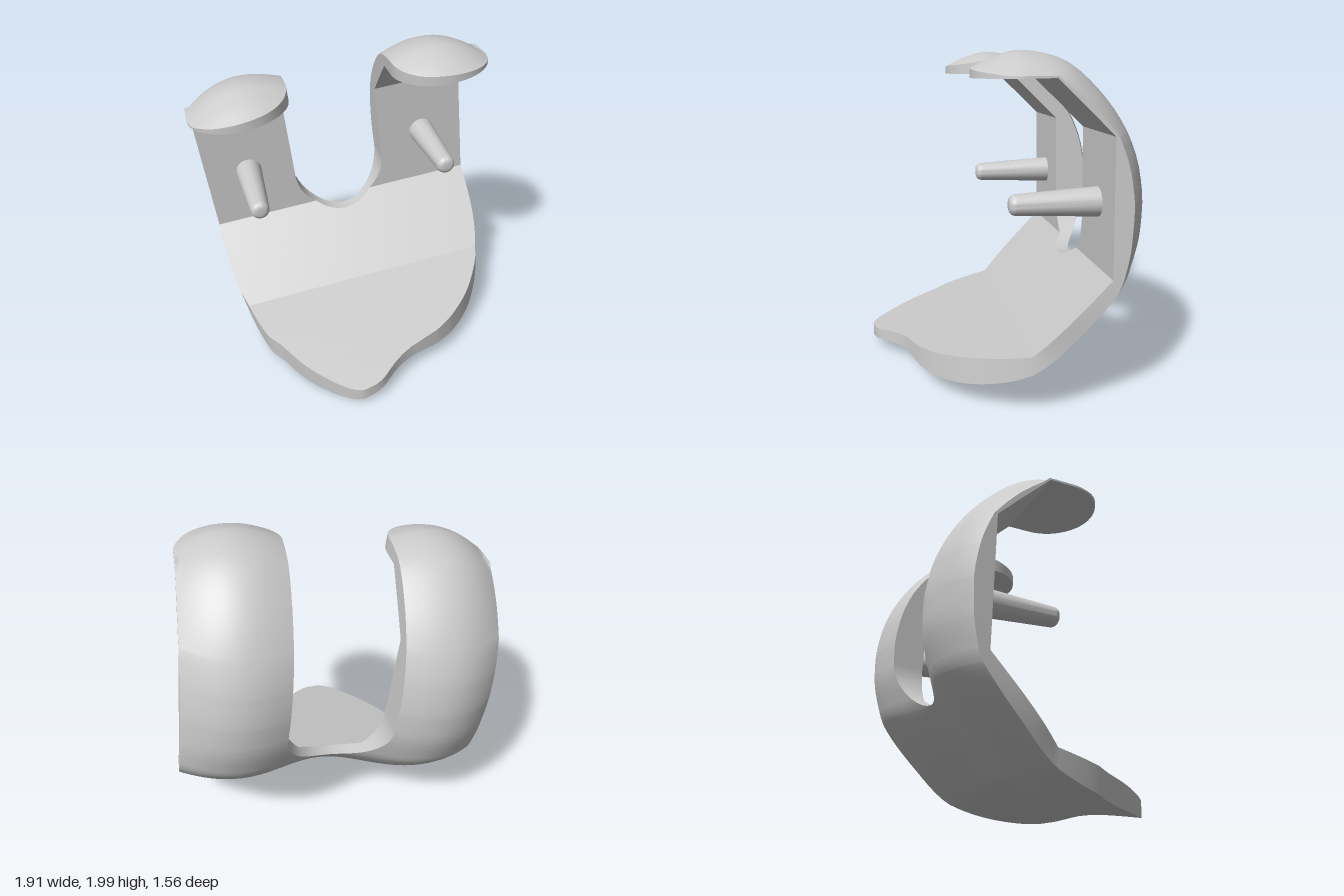
import * as THREE from 'three';
import { toCreasedNormals } from 'three/addons/utils/BufferGeometryUtils.js';

const MID = 0.14;            // centre line between the two runners
const SLOT = 0.31;           // half width of the U-shaped slot
const HALF = 0.895;          // half width of the whole shell
const CREST = 0.56;          // distance of each crest from the centre line

// Stations along the shell: s, inner z, inner y, outer z, outer y
const rays = [
  [0, 0.21, 1.785, 0.21, 1.835],
  [0.13, 0.08, 1.785, 0.08, 1.895],
  [0.26, -0.05, 1.785, -0.06, 1.928],
  [0.47, -0.19, 1.785, -0.26, 1.892],
  [0.77, -0.345, 1.635, -0.5, 1.705],
  [1.05, -0.495, 1.485, -0.655, 1.475],
  [1.25, -0.495, 1.29, -0.722, 1.285],
  [1.44, -0.495, 1.1, -0.745, 1.1],
  [1.58, -0.495, 0.96, -0.738, 0.96],
  [1.82, -0.495, 0.72, -0.672, 0.72],
  [1.89, -0.426, 0.65, -0.635, 0.65],
  [2.22, -0.25, 0.472, -0.41, 0.415],
  [2.625, -0.075, 0.295, -0.075, 0.172],
  [2.9, 0.2, 0.248, 0.2, 0.09],
  [3.2, 0.5, 0.196, 0.5, 0.052],
  [3.475, 0.775, 0.15, 0.775, 0.042],
];
// Outline of the front flange on each side: s, x
const rightEdge = [[1.7, 1.035], [2.0, 1.033], [2.3, 1.015], [2.625, 0.965], [2.91, 0.81], [3.13, 0.587],
  [3.23, 0.40], [3.275, 0.25], [3.355, 0.115], [3.44, 0.01], [3.465, -0.05], [3.475, -0.12]];
const leftEdge = [[1.7, -0.755], [2.0, -0.753], [2.3, -0.738], [2.625, -0.69], [2.905, -0.61], [2.99, -0.55],
  [3.18, -0.44], [3.355, -0.295], [3.44, -0.2], [3.468, -0.15], [3.475, -0.12]];
// How far the outer surface falls from the crest to the rim and into the groove
const rimDrop = [[0, 0.1], [0.26, 0.14], [1.6, 0.14], [2.22, 0.07], [2.62, 0.025], [3.475, 0.02]];
const grooveDrop = [[0, 0.13], [1.9, 0.13], [2.22, 0.1], [2.62, 0.07], [3.475, 0.05]];

// Interpolate column c of a table; smooth = monotone cubic, otherwise linear
function sample(table, x, c = 1, smooth = true) {
  const n = table.length;
  if (x <= table[0][0]) return table[0][c];
  if (x >= table[n - 1][0]) return table[n - 1][c];
  let i = 0;
  while (x > table[i + 1][0]) i++;
  const h = table[i + 1][0] - table[i][0], t = (x - table[i][0]) / h;
  const a = table[i][c], b = table[i + 1][c];
  if (!smooth) return a + (b - a) * t;
  const slope = k => (table[k + 1][c] - table[k][c]) / (table[k + 1][0] - table[k][0]);
  const tangent = k => {
    if (k === 0) return slope(0);
    if (k === n - 1) return slope(n - 2);
    const p = slope(k - 1), q = slope(k);
    return p * q <= 0 ? 0 : (2 * p * q) / (p + q);
  };
  const t2 = t * t, t3 = t2 * t;
  return a * (2 * t3 - 3 * t2 + 1) + b * (3 * t2 - 2 * t3)
    + h * (tangent(i) * (t3 - 2 * t2 + t) + tangent(i + 1) * (t3 - t2));
}

// Station list, denser where the outline turns quickly
function stations() {
  const list = rays.map(r => r[0]);
  for (let k = 0; k <= 14; k++) {
    const a = (k / 14) * Math.PI / 2;
    list.push(0.26 * (1 - Math.cos(a)));        // rounded runner tips
    list.push(1.58 + SLOT * Math.sin(a));       // bottom of the slot
    list.push(2.9 + 0.575 * Math.sin(a));       // flange tip
  }
  for (let k = 1; k < 44; k++) list.push(0.26 + k * 0.07);
  list.sort((a, b) => a - b);
  return list.filter((s, i) => s <= 3.475 && (i === 0 || s - list[i - 1] > 1e-4));
}

// Inner and outer x limits of one half at station s
function limits(s, side) {
  if (s < 0.26) {
    const centre = (SLOT + HALF) / 2, q = 1 - s / 0.26;
    const half = (HALF - SLOT) / 2 * Math.sqrt(Math.max(0, 1 - q * q));
    return [MID + side * (centre - half), MID + side * (centre + half)];
  }
  const outer = sample(side > 0 ? rightEdge : leftEdge, s);
  if (s <= 1.58) return [MID + side * SLOT, outer];
  if (s < 1.89) {
    const q = (s - 1.58) / SLOT;
    return [MID + side * SLOT * Math.sqrt(Math.max(0, 1 - q * q)), outer];
  }
  return [THREE.MathUtils.mapLinear(Math.max(s, 2.625), 2.625, 3.475, MID, -0.12), outer];
}

// Inner facet point and domed outer point at station s and position x
function shellPoints(s, x) {
  const inner = new THREE.Vector3(x, sample(rays, s, 2, false), sample(rays, s, 1, false));
  const crest = new THREE.Vector3(x, sample(rays, s, 4), sample(rays, s, 3));
  const d = Math.abs(x - MID);
  const drop = d > CREST
    ? sample(rimDrop, s, 1, false) * ((d - CREST) / (HALF - CREST)) ** 2
    : sample(grooveDrop, s, 1, false) * (1 + Math.cos(Math.PI * d / CREST)) / 2;
  const reach = inner.distanceTo(crest);
  const outer = inner.clone().lerp(crest, Math.max(0.012, reach - drop) / reach);
  return { inner, outer };
}

function shellGeometry() {
  const N = 26, pos = [], list = stations();
  const ab = new THREE.Vector3(), ac = new THREE.Vector3();
  const tri = (a, b, c) => {
    if (ab.subVectors(b, a).cross(ac.subVectors(c, a)).length() < 1e-9) return;
    for (const p of [a, b, c]) pos.push(p.x, p.y, p.z);
  };
  for (const side of [1, -1]) {
    const quad = (a, b, c, d) => {
      if (side < 0) [b, d] = [d, b];
      tri(a, b, c);
      tri(a, c, d);
    };
    const grid = list.map(s => {
      const [x0, x1] = limits(s, side);
      return Array.from({ length: N + 1 }, (_, j) => shellPoints(s, x0 + (x1 - x0) * j / N));
    });
    for (let i = 0; i < grid.length - 1; i++) {
      const p = grid[i], q = grid[i + 1];
      for (let j = 0; j < N; j++) {
        quad(p[j].outer, p[j + 1].outer, q[j + 1].outer, q[j].outer);
        quad(p[j].inner, q[j].inner, q[j + 1].inner, p[j + 1].inner);
      }
      // outer rim, then slot wall
      quad(p[N].outer, p[N].inner, q[N].inner, q[N].outer);
      if (list[i + 1] < 1.8901) quad(p[0].outer, q[0].outer, q[0].inner, p[0].inner);
    }
  }
  const geo = new THREE.BufferGeometry();
  geo.setAttribute('position', new THREE.Float32BufferAttribute(pos, 3));
  return toCreasedNormals(geo, 0.5);
}

// Tapered peg with a rounded end, along +z
function pegGeometry() {
  const profile = [new THREE.Vector2(0.086, -0.02)];
  for (let k = 0; k <= 8; k++) {
    const a = (k / 8) * Math.PI / 2;
    profile.push(new THREE.Vector2(0.022 + 0.038 * Math.cos(a), 0.468 + 0.04 * Math.sin(a)));
  }
  profile.push(new THREE.Vector2(0, 0.508));
  return toCreasedNormals(new THREE.LatheGeometry(profile, 40).rotateX(Math.PI / 2), 0.6);
}

export function createModel() {
  const group = new THREE.Group();
  group.name = 'kneeImplantShell';
  const material = new THREE.MeshStandardMaterial({ color: 0xcccccc });

  const shell = new THREE.Mesh(shellGeometry(), material);
  shell.name = 'curvedShell';
  group.add(shell);

  // Pegs standing on the flat back facet
  const pegGeo = pegGeometry();
  for (const side of [1, -1]) {
    const peg = new THREE.Mesh(pegGeo, material);
    peg.name = side > 0 ? 'leftPeg' : 'rightPeg';
    peg.position.set(MID + side * 0.61, 1.095, -0.495);
    group.add(peg);
  }

  // The whole part leans slightly sideways and is turned a little
  group.rotation.set(0, 0.05, 0.114, 'ZYX');
  return group;
}
